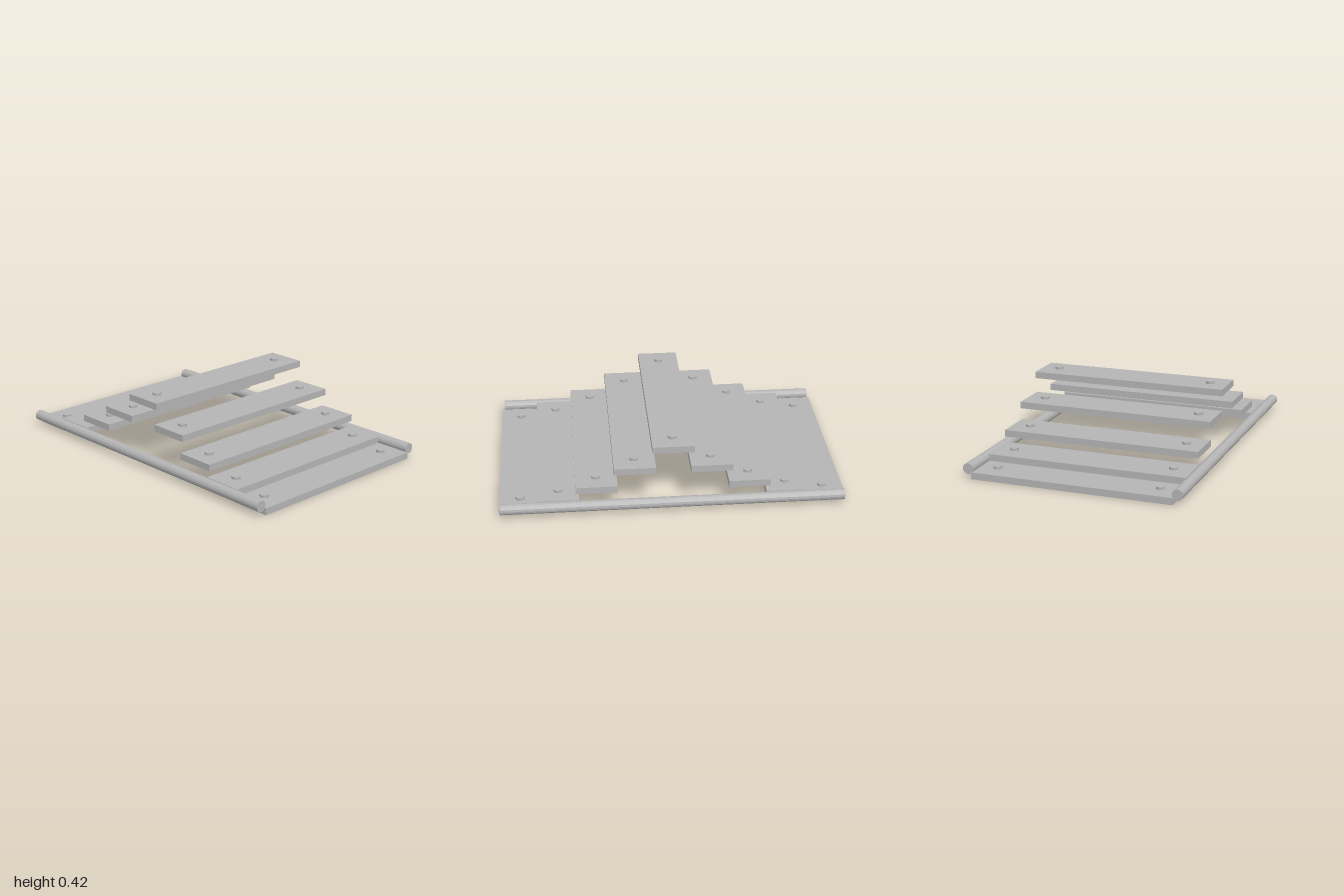
import * as THREE from 'three';

export function createModel() {
  const model = new THREE.Group();
  const grey = new THREE.MeshStandardMaterial({ color: 0xb4b4b4, flatShading: true });
  grey.name = 'plain grey';

  const add = (parent, name, geometry, x, y, z) => {
    const mesh = new THREE.Mesh(geometry, grey);
    mesh.name = name;
    mesh.position.set(x, y, z);
    parent.add(mesh);
    return mesh;
  };

  const thickness = 0.04;
  const plankGeometry = new THREE.BoxGeometry(0.24, thickness, 1.186);
  const pegGeometry = new THREE.CylinderGeometry(0.025, 0.025, 0.015, 16);
  const railGeometry = new THREE.CylinderGeometry(0.032, 0.032, 1.976, 16).rotateZ(Math.PI / 2);

  // Nine planks rising in steps to the middle, each with a peg near both ends
  const bottoms = [0.364, 0.232, 0.12, 0.04, 0];
  for (let i = -4; i <= 4; i++) {
    const plank = new THREE.Group();
    plank.name = 'plank' + (i + 5);
    plank.position.set(i * 0.22, bottoms[Math.abs(i)], 0);
    add(plank, 'board', plankGeometry, 0, thickness / 2, 0);
    for (const side of [-1, 1]) {
      add(plank, side > 0 ? 'frontPeg' : 'backPeg', pegGeometry, 0, thickness + 0.0075, side * 0.485);
    }
    model.add(plank);
  }

  // Round rails along the front and back
  for (const side of [-1, 1]) {
    add(model, side > 0 ? 'frontRail' : 'backRail', railGeometry, 0, 0.055, side * 0.617);
  }
  return model;
}
